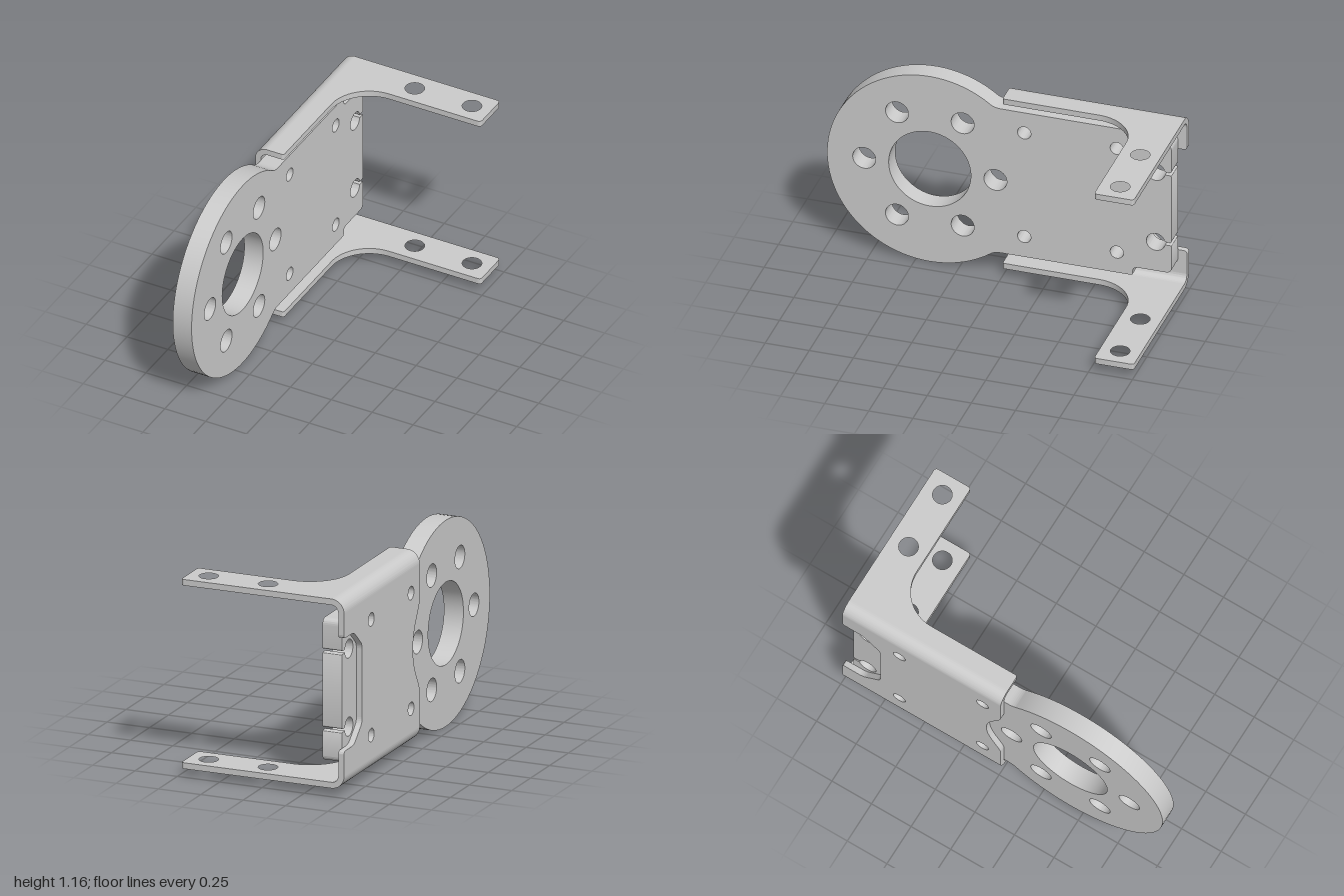
import * as THREE from 'three';
import { toCreasedNormals } from 'three/addons/utils/BufferGeometryUtils.js';

const MID = 0.583;                       // height of the mirror plane
const material = new THREE.MeshStandardMaterial({ color: 0xcccccc });

// Run a straight line to a corner and round it towards the next point
function corner(shape, x, y, nextX, nextY, r) {
  const c = new THREE.Vector2(x, y);
  const before = shape.currentPoint.clone().sub(c).setLength(r).add(c);
  const after = new THREE.Vector2(nextX, nextY).sub(c).setLength(r).add(c);
  shape.lineTo(before.x, before.y);
  shape.quadraticCurveTo(x, y, after.x, after.y);
}

// Closed outline from [x, y, radius] points
function roundedOutline(points) {
  const shape = new THREE.Shape();
  const [a, b] = [points[points.length - 1], points[0]];
  shape.moveTo((a[0] + b[0]) / 2, (a[1] + b[1]) / 2);
  points.forEach(([x, y, r], i) => {
    const n = points[(i + 1) % points.length];
    if (r) corner(shape, x, y, n[0], n[1], r);
    else shape.lineTo(x, y);
  });
  shape.closePath();
  return shape;
}

function drill(shape, x, y, r) {
  shape.holes.push(new THREE.Path().absarc(x, y, r, 0, Math.PI * 2, true));
}

function extrude(shape, depth) {
  return new THREE.ExtrudeGeometry(shape, { depth, bevelEnabled: false, curveSegments: 32 });
}

function part(name, geometry) {
  const mesh = new THREE.Mesh(toCreasedNormals(geometry, 0.6), material);
  mesh.name = name;
  return mesh;
}

// Stand a (-z, y) outline upright, thickness running along +x from x0
const upright = (shape, depth, x0) => extrude(shape, depth).rotateY(Math.PI / 2).translate(x0, 0, 0);

function drillScrewHoles(shape) {
  for (const u of [0.115, 0.64]) for (const s of [-1, 1]) drill(shape, u, MID + s * 0.326, 0.038);
}

// Thick plate: round disc joined to a stepped rectangular tail
function mountingPlate() {
  const cu = -0.42, R = 0.582, half = 0.453;
  const joint = Math.asin(half / R), uj = cu + R * Math.cos(joint), t = joint + 0.05;
  const low = MID - half, high = MID + half, step = 0.052;
  const s = new THREE.Shape();
  s.absarc(cu, MID, R, t, Math.PI * 2 - t, false);
  s.quadraticCurveTo(uj, low, uj + 0.04, low);
  corner(s, 0.73, low, 0.73, low + step, 0.012);
  corner(s, 0.73, low + step, 0.95, low + step, 0.03);
  corner(s, 0.95, low + step, 0.95, MID, 0.035);
  // keyhole slots opening through the rear edge
  for (const y of [MID - 0.22, MID + 0.22]) {
    const r = 0.053, w = 0.009, a = Math.asin(w / r);
    corner(s, 0.95, y - w, 0.9, y - w, 0.012);
    s.lineTo(0.86 + r * Math.cos(a), y - w);
    s.absarc(0.86, y, r, -a, a, true);
    corner(s, 0.95, y + w, 0.95, y + 0.1, 0.012);
  }
  corner(s, 0.95, high - step, 0.73, high - step, 0.035);
  corner(s, 0.73, high - step, 0.73, high, 0.03);
  corner(s, 0.73, high, uj, high, 0.012);
  s.lineTo(uj + 0.04, high);
  s.quadraticCurveTo(uj, high, cu + R * Math.cos(t), MID + R * Math.sin(t));
  // centre bore and ring of bolt holes
  drill(s, cu, MID, 0.233);
  for (let i = 0; i < 6; i++) {
    const a = i * Math.PI / 3;
    drill(s, cu + 0.372 * Math.cos(a), MID + 0.372 * Math.sin(a), 0.065);
  }
  drillScrewHoles(s);
  return part('mountingPlate', upright(s, 0.115, -0.45));
}

const SHEET = 0.034, BEND = 0.075, TOP = 1.117, LEFT = -0.484;

// Flat back sheet of the bracket, cut away at the rear and scooped at the front
function bracketWeb() {
  const h = TOP - BEND - MID;
  const s = new THREE.Shape();
  s.moveTo(0, MID - h);
  s.lineTo(1, MID - h);
  corner(s, 1, MID - 0.318, 0.88, MID - 0.318, 0.02);
  corner(s, 0.87, MID - 0.318, 0.76, MID - 0.22, 0.03);
  corner(s, 0.76, MID - 0.22, 0.76, MID, 0.03);
  corner(s, 0.76, MID + 0.22, 0.87, MID + 0.318, 0.03);
  corner(s, 0.87, MID + 0.318, 1, MID + 0.318, 0.03);
  corner(s, 1, MID + 0.318, 1, MID + h, 0.02);
  s.lineTo(1, MID + h);
  s.lineTo(0, MID + h);
  s.lineTo(0, MID + 0.27);
  s.bezierCurveTo(0, MID + 0.2, 0.09, MID + 0.14, 0.09, MID);
  s.bezierCurveTo(0.09, MID - 0.14, 0, MID - 0.2, 0, MID - 0.27);
  s.closePath();
  drillScrewHoles(s);
  return part('bracketWeb', upright(s, SHEET, LEFT));
}

// Quarter-round fold between web and flange; side is +1 at the top, -1 at the bottom
function bracketBend(side) {
  const cx = LEFT + BEND, cy = MID + side * (TOP - BEND - MID);
  const a0 = side > 0 ? Math.PI / 2 : Math.PI, a1 = a0 + Math.PI / 2;
  const s = new THREE.Shape();
  s.absarc(cx, cy, BEND, a0, a1, false);
  s.absarc(cx, cy, BEND - SHEET, a1, a0, true);
  s.closePath();
  return part(side > 0 ? 'upperBend' : 'lowerBend', extrude(s, 1).translate(0, 0, -1));
}

// L-shaped flange with a wide inner fillet and two holes in the arm
function bracketFlange(side) {
  const x0 = LEFT + BEND;
  const s = new THREE.Shape();
  s.moveTo(x0, 0);
  s.lineTo(x0, 1);
  corner(s, 0.478, 1, 0.478, 0.775, 0.02);
  corner(s, 0.478, 0.775, 0, 0.775, 0.02);
  s.lineTo(-0.08, 0.775);
  s.absarc(-0.08, 0.545, 0.23, Math.PI / 2, Math.PI, false);
  corner(s, -0.31, 0, x0, 0, 0.015);
  s.closePath();
  for (const x of [0.015, 0.365]) drill(s, x, 0.887, 0.053);
  const y = side > 0 ? TOP - SHEET : 2 * MID - TOP;
  const geometry = extrude(s, SHEET).rotateX(-Math.PI / 2).translate(0, y, 0);
  return part(side > 0 ? 'upperFlange' : 'lowerFlange', geometry);
}

export function createModel() {
  const model = new THREE.Group();
  model.name = 'motorMount';
  const bracket = new THREE.Group();
  bracket.name = 'bracket';
  bracket.add(bracketWeb());
  for (const side of [1, -1]) bracket.add(bracketBend(side), bracketFlange(side));
  model.add(mountingPlate(), bracket);
  return model;
}
